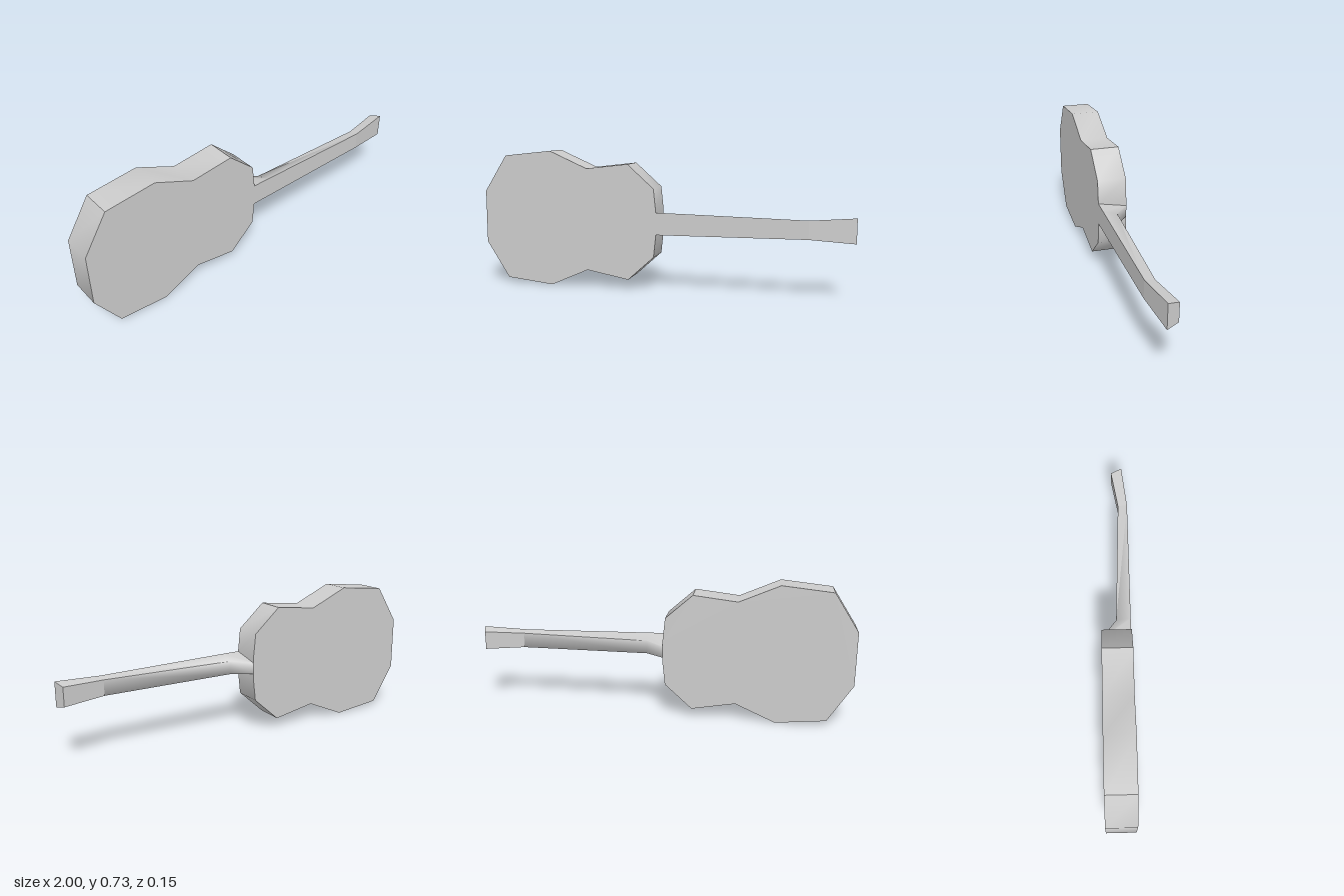
import * as THREE from 'three';
import { toCreasedNormals } from 'three/addons/utils/BufferGeometryUtils.js';

const CENTER_Y = 0.361; // height of the neck's centre line

// Joins four-cornered sections: [xFront, zFront, halfFront, xBack, zBack, halfBack]
function loft(sections, crease, capEnd) {
  const points = [];
  const index = [];
  for (const [xf, zf, hf, xb, zb, hb] of sections) {
    points.push(
      xf, CENTER_Y + hf, zf, xf, CENTER_Y - hf, zf,
      xb, CENTER_Y - hb, zb, xb, CENTER_Y + hb, zb
    );
  }
  for (let i = 0; i < sections.length - 1; i++) {
    for (let k = 0; k < 4; k++) {
      const a = i * 4 + k;
      const b = i * 4 + ((k + 1) % 4);
      index.push(a, b, b + 4, a, b + 4, a + 4);
    }
  }
  if (capEnd) {
    const e = (sections.length - 1) * 4;
    index.push(e, e + 1, e + 2, e, e + 2, e + 3);
  }
  const geometry = new THREE.BufferGeometry();
  geometry.setAttribute('position', new THREE.Float32BufferAttribute(points, 3));
  geometry.setIndex(index);
  return toCreasedNormals(geometry, crease);
}

export function createModel() {
  const model = new THREE.Group();
  model.name = 'guitar';
  const grey = new THREE.MeshStandardMaterial({ color: 0xcccccc });
  grey.name = 'light grey';

  const add = (name, geometry) => {
    const mesh = new THREE.Mesh(geometry, grey);
    mesh.name = name;
    model.add(mesh);
  };

  // Waisted body with a faceted outline
  const outline = [
    [-1, 0.225], [-0.873, 0.026], [-0.61, 0], [-0.4, 0.094], [-0.17, 0.053],
    [-0.028, 0.182], [-0.015, 0.303], [-0.015, 0.419], [-0.028, 0.544],
    [-0.17, 0.67], [-0.4, 0.643], [-0.61, 0.734], [-0.873, 0.706], [-1, 0.508],
  ].map(([x, y]) => new THREE.Vector2(x, y));
  const body = new THREE.ExtrudeGeometry(new THREE.Shape(outline), {
    depth: 0.154, bevelEnabled: false,
  });
  body.translate(0, 0, -0.077);
  add('body', toCreasedNormals(body, 0.78));

  // Neck with a flat front, a soft back and a sloping heel
  const nut = [0.77, 0.077, 0.048, 0.77, 0.026, 0.04];
  add('neck', loft([
    [-0.015, 0.077, 0.059, -0.015, -0.077, 0.03],
    [0.08, 0.077, 0.058, 0.08, 0, 0.035],
    nut,
  ], 1.4, false));

  // Headstock, tilted back and flared
  add('headstock', loft([nut, [1, 0.05, 0.064, 0.98, -0.009, 0.049]], 0.5, true));

  return model;
}
